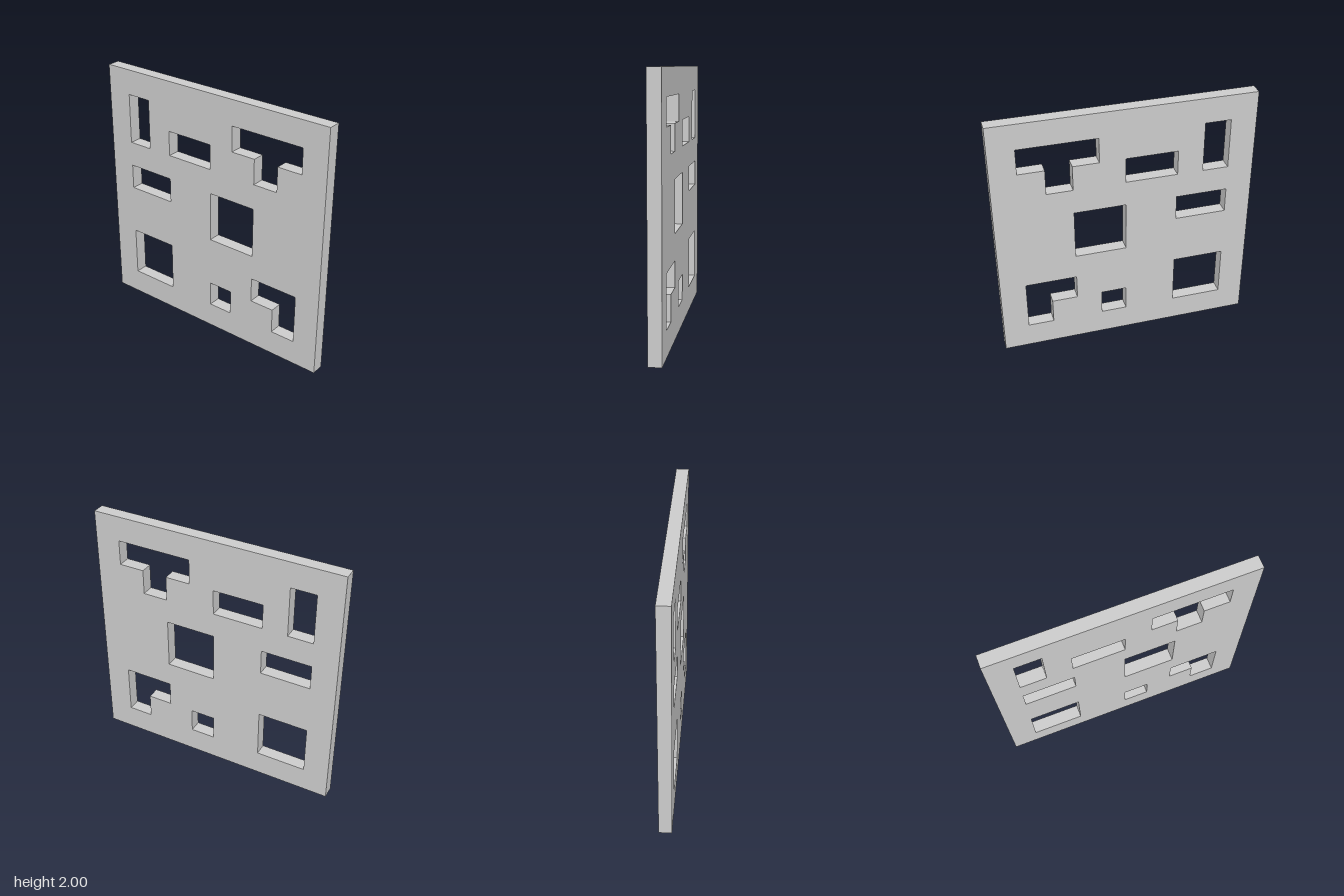
import * as THREE from 'three';

const THICKNESS = 0.1;

// Closed outline from a flat list of x, y pairs
function outline(coords, Type = THREE.Path) {
  const points = [];
  for (let i = 0; i < coords.length; i += 2) points.push(new THREE.Vector2(coords[i], coords[i + 1]));
  return new Type(points);
}

const rect = (x0, y0, x1, y1) => [x0, y0, x1, y0, x1, y1, x0, y1];

export function createModel() {
  const group = new THREE.Group();
  group.name = 'perforatedPanel';

  // Square plate
  const plate = outline(rect(-1, 0, 1, 2), THREE.Shape);

  // Rectangular windows
  const windows = [
    rect(-0.8, 1.4, -0.6, 1.8),
    rect(-0.4, 1.4, 0, 1.6),
    rect(-0.8, 1.0, -0.4, 1.2),
    rect(0, 0.8, 0.4, 1.2),
    rect(-0.8, 0.2, -0.4, 0.6),
    rect(0, 0.2, 0.2, 0.4),
  ];

  // T-shaped and L-shaped windows
  const tWindow = [0.2, 1.6, 0.4, 1.6, 0.4, 1.4, 0.6, 1.4, 0.6, 1.6, 0.8, 1.6, 0.8, 1.8, 0.2, 1.8];
  const lWindow = [0.4, 0.4, 0.6, 0.4, 0.6, 0.2, 0.8, 0.2, 0.8, 0.6, 0.4, 0.6];

  for (const coords of [...windows, tWindow, lWindow]) plate.holes.push(outline(coords));

  const geometry = new THREE.ExtrudeGeometry(plate, { depth: THICKNESS, bevelEnabled: false });
  geometry.translate(0, 0, -THICKNESS / 2);

  const panel = new THREE.Mesh(geometry, new THREE.MeshStandardMaterial({ color: 0xcccccc }));
  panel.name = 'panel';
  group.add(panel);
  return group;
}
